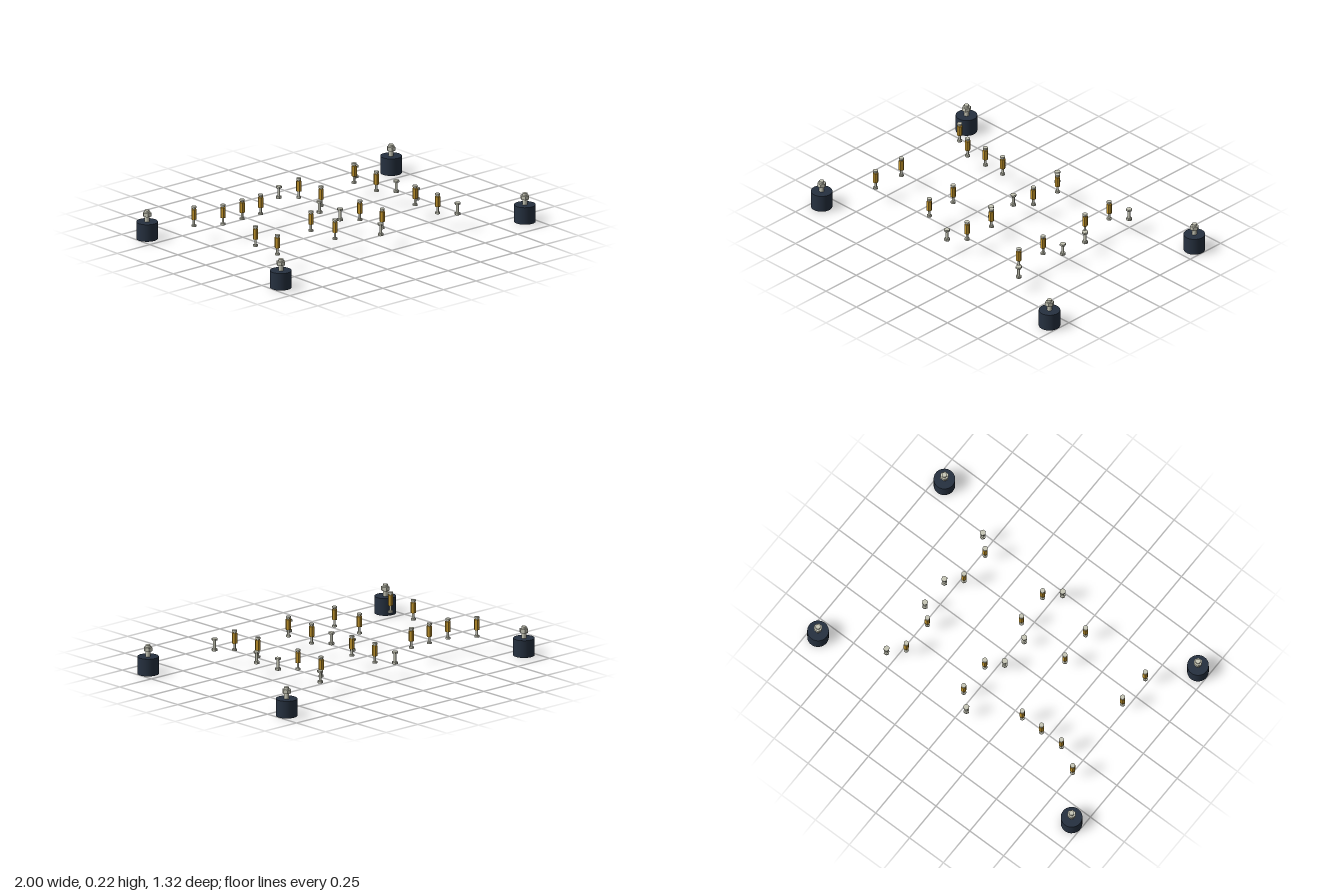
import * as THREE from 'three';

const rubber = new THREE.MeshStandardMaterial({ color: 0x263140 });
const steel = new THREE.MeshStandardMaterial({ color: 0xc8c8b8 });
const brass = new THREE.MeshStandardMaterial({ color: 0xc4962c });
const steelHex = steel.clone();
const brassHex = brass.clone();
steelHex.flatShading = brassHex.flatShading = true;

// Upright cylinder between two heights
function round(name, r, y0, y1, material) {
  const mesh = new THREE.Mesh(new THREE.CylinderGeometry(r, r, y1 - y0, 32), material);
  mesh.position.y = (y0 + y1) / 2;
  mesh.name = name;
  return mesh;
}

// Upright hexagonal prism with its corners pointing along x
function hex(name, r, y0, y1, material) {
  const mesh = new THREE.Mesh(new THREE.CylinderGeometry(r, r, y1 - y0, 6), material);
  mesh.position.y = (y0 + y1) / 2;
  mesh.rotation.y = Math.PI / 6;
  mesh.name = name;
  return mesh;
}

function assembly(name, x, z, ...parts) {
  const group = new THREE.Group();
  group.name = name;
  group.position.set(x, 0, z);
  group.add(...parts);
  return group;
}

// Rubber foot with a threaded stud and nut
const foot = (x, z) => assembly('rubberFoot', x, z,
  round('footPad', 0.063, 0, 0.104, rubber),
  round('footStud', 0.0145, 0.1, 0.174, steel),
  hex('footNut', 0.026, 0.137, 0.16, steelHex));

// Brass spacer with a screw at either end
const standoff = (x, z) => assembly('standoff', x, z,
  hex('spacer', 0.0165, 0.138, 0.2, brassHex),
  round('screwShank', 0.007, 0.098, 0.21, steel),
  round('topScrewHead', 0.0145, 0.207, 0.218, steel),
  round('bottomScrewHead', 0.0145, 0.094, 0.104, steel));

// Long hex bolt with a nut below
const bolt = (x, z) => assembly('mountingBolt', x, z,
  hex('boltHead', 0.0185, 0.155, 0.166, steelHex),
  round('boltShank', 0.0085, 0.088, 0.157, steel),
  hex('boltNut', 0.0175, 0.091, 0.104, steelHex));

export function createModel() {
  const model = new THREE.Group();
  model.name = 'mountingHardware';

  // Four corner feet
  for (const x of [-0.937, 0.937])
    for (const z of [-0.597, 0.597]) model.add(foot(x, z));

  // Two columns of bolts
  for (const x of [-0.048, 0.542])
    for (const z of [-0.455, -0.092, 0.092, 0.455]) model.add(bolt(x, z));

  // Two columns of standoffs between the bolts
  for (const x of [0.035, 0.46])
    for (const z of [-0.373, -0.174, 0.172, 0.372]) model.add(standoff(x, z));

  // Standoffs on the right side: back row, then front set
  const loose = [
    [-0.77, -0.373], [-0.62, -0.288], [-0.473, -0.288], [-0.331, -0.288],
    [-0.738, 0.139], [-0.312, 0.139], [-0.746, 0.344], [-0.304, 0.344],
  ];
  for (const [x, z] of loose) model.add(standoff(x, z));

  return model;
}
